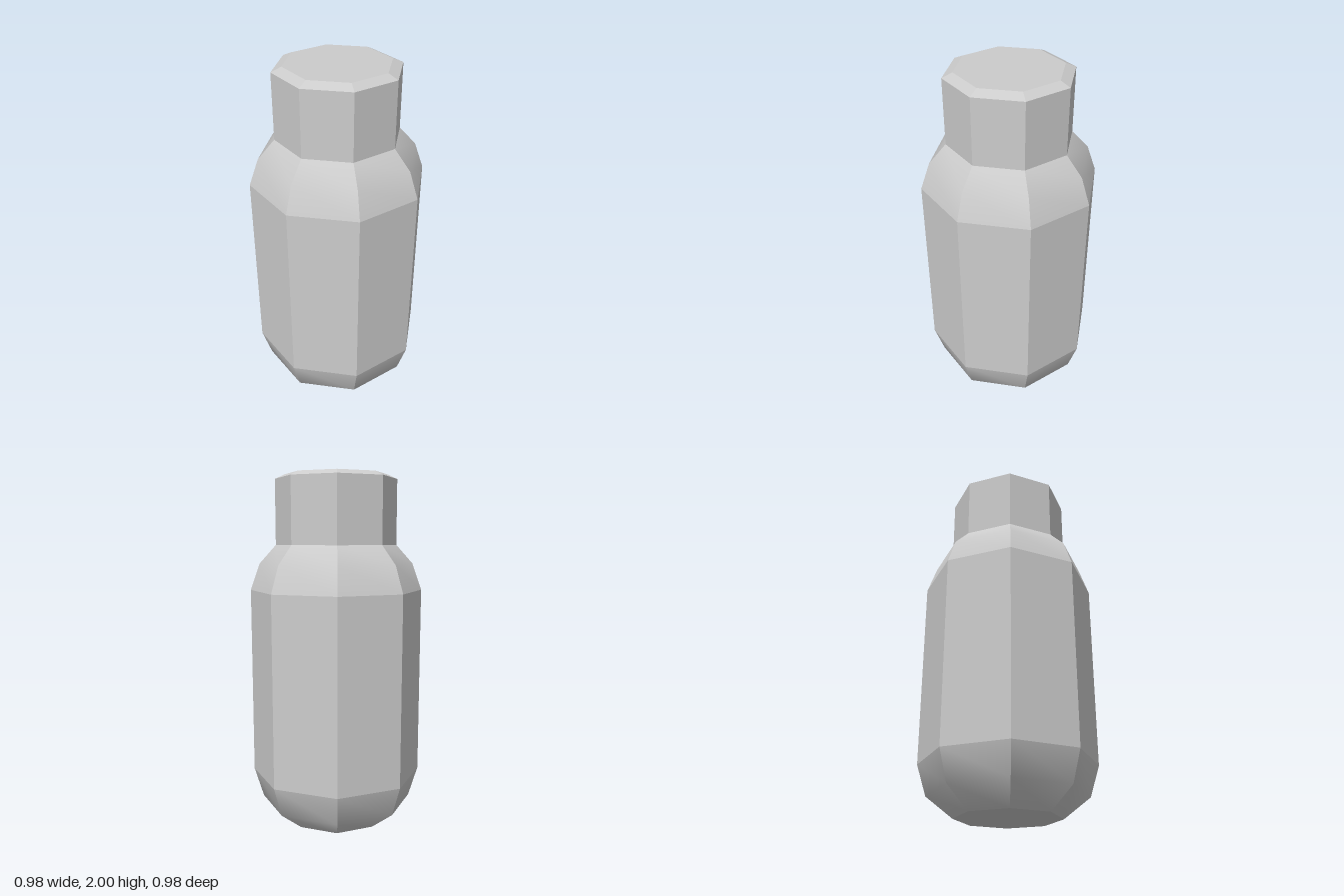
import * as THREE from 'three';
import { mergeGeometries } from 'three/addons/utils/BufferGeometryUtils.js';

const SIDES = 8;
const material = new THREE.MeshStandardMaterial({ color: 0xcccccc });

// Eight separate panels: crisp between sides, smooth along each panel's profile
function band(name, profile) {
  const points = profile.map(([r, y]) => new THREE.Vector2(r, y));
  const step = (Math.PI * 2) / SIDES;
  const panels = [];
  for (let i = 0; i < SIDES; i++) {
    const panel = new THREE.LatheGeometry(points, 1, i * step, step);
    panel.computeVertexNormals();
    panels.push(panel);
  }
  const mesh = new THREE.Mesh(mergeGeometries(panels), material);
  mesh.name = name;
  return mesh;
}

// Flat octagon facing up (direction 1) or down (direction -1)
function disc(name, radius, y, direction) {
  const geometry = new THREE.CircleGeometry(radius, SIDES);
  geometry.rotateX((-direction * Math.PI) / 2);
  geometry.translate(0, y, 0);
  const mesh = new THREE.Mesh(geometry, material);
  mesh.name = name;
  return mesh;
}

export function createModel() {
  const bottle = new THREE.Group();
  bottle.name = 'bottle';

  // Body: rounded base, straight wall, rounded shoulder
  const body = new THREE.Group();
  body.name = 'body';
  body.add(
    disc('baseBottom', 0.29, 0, -1),
    band('baseCurve', [[0.29, 0], [0.437, 0.115], [0.49, 0.285]]),
    band('wall', [[0.49, 0.285], [0.49, 1.355]]),
    band('shoulder', [[0.49, 1.355], [0.437, 1.505], [0.343, 1.61]])
  );

  // Cap: straight side with a bevelled top edge
  const cap = new THREE.Group();
  cap.name = 'cap';
  cap.add(
    band('capSide', [[0.343, 1.61], [0.343, 1.975]]),
    band('capBevel', [[0.343, 1.975], [0.287, 2]]),
    disc('capTop', 0.287, 2, 1)
  );

  bottle.add(body, cap);
  return bottle;
}
